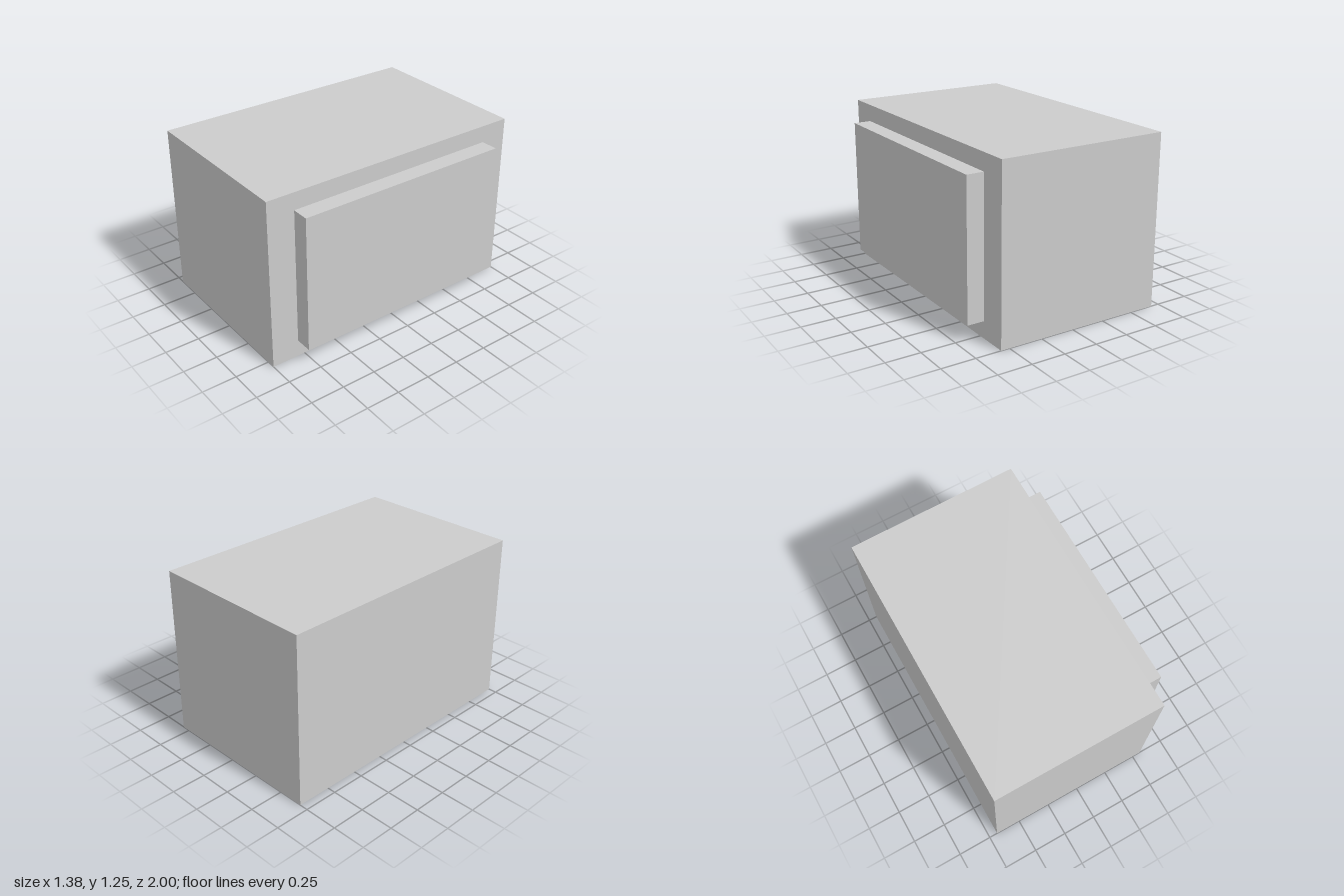
import * as THREE from 'three';

const material = new THREE.MeshStandardMaterial({ color: 0xcccccc, flatShading: true });

// Box given by its minimum and maximum corners
function block(name, min, max) {
  const size = max.map((v, i) => v - min[i]);
  const mesh = new THREE.Mesh(new THREE.BoxGeometry(...size), material);
  mesh.position.set(...max.map((v, i) => (v + min[i]) / 2));
  mesh.name = name;
  return mesh;
}

export function createModel() {
  const group = new THREE.Group();
  group.name = 'boxWithSidePanel';

  // Main body
  group.add(block('body', [-0.6875, 0, -1], [0.5625, 1.25, 1]));

  // Raised panel on the left (+x) side
  group.add(block('sidePanel', [0.5625, 0.125, -0.8], [0.6875, 1.125, 0.8]));

  return group;
}
